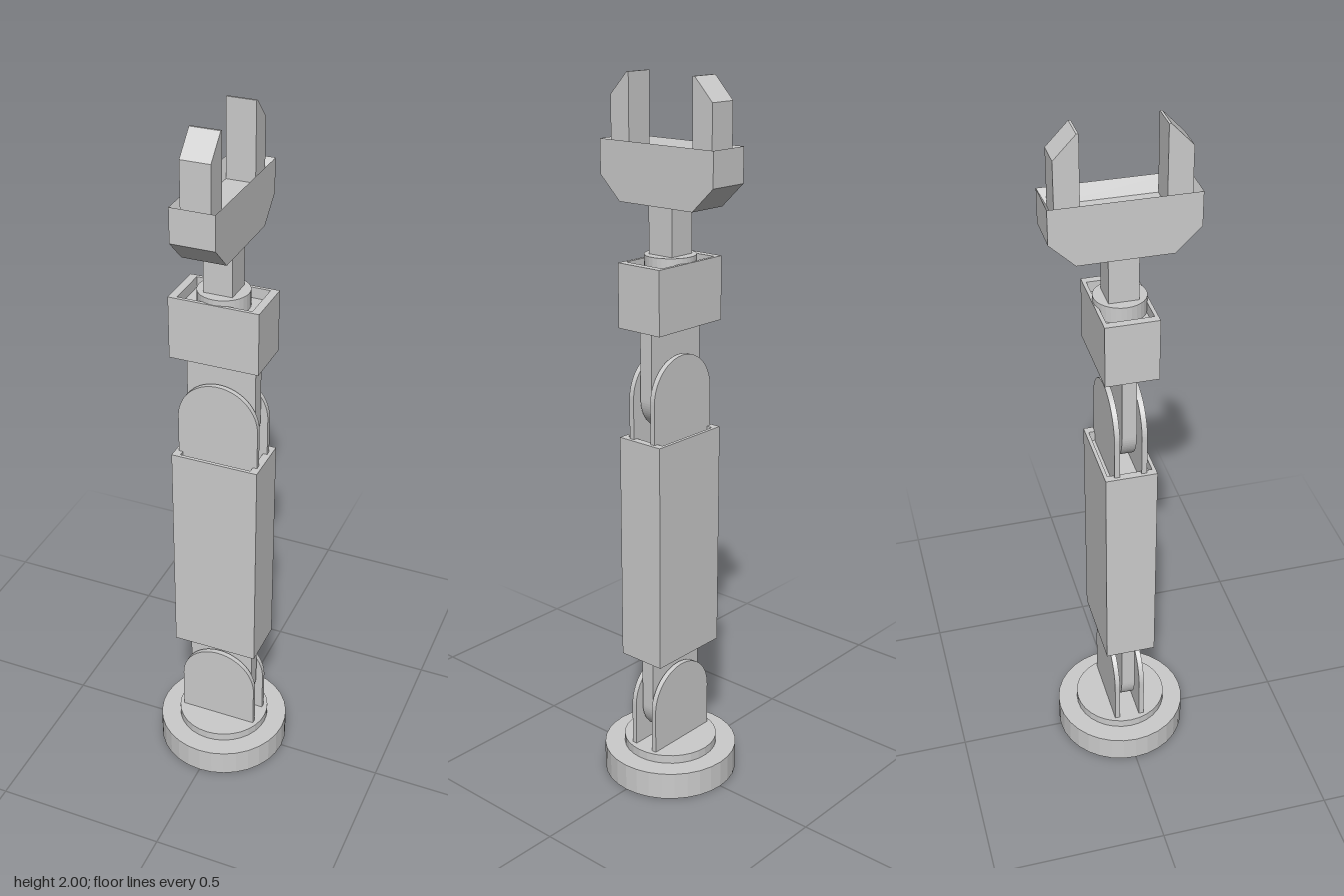
import * as THREE from 'three';

const mat = new THREE.MeshStandardMaterial({ color: 0xcccccc, flatShading: true, side: THREE.DoubleSide });

function add(parent, name, geo, x = 0, y = 0, z = 0) {
  const mesh = new THREE.Mesh(geo, mat);
  mesh.name = name;
  mesh.position.set(x, y, z);
  parent.add(mesh);
  return mesh;
}

// Closed solid through rectangular rings [y, halfX, halfZ]
function rectLoft(rings) {
  const pos = [], idx = [];
  for (const [y, hx, hz] of rings) pos.push(-hx, y, hz, hx, y, hz, hx, y, -hz, -hx, y, -hz);
  for (let r = 0; r < rings.length - 1; r++) {
    for (let i = 0; i < 4; i++) {
      const a = r * 4 + i, b = r * 4 + (i + 1) % 4;
      idx.push(a, b, b + 4, a, b + 4, a + 4);
    }
  }
  const t = (rings.length - 1) * 4;
  idx.push(0, 2, 1, 0, 3, 2, t, t + 1, t + 2, t, t + 2, t + 3);
  const geo = new THREE.BufferGeometry();
  geo.setAttribute('position', new THREE.Float32BufferAttribute(pos, 3));
  geo.setIndex(idx);
  const flat = geo.toNonIndexed();
  flat.computeVertexNormals();
  return flat;
}

// Extrusion centred on its depth
function plate(shape, depth) {
  return new THREE.ExtrudeGeometry(shape, { depth, bevelEnabled: false, curveSegments: 20 }).translate(0, 0, -depth / 2);
}

// Box sleeve with a recessed face at each end
function sleeve(y0, y1) {
  const hx = 0.125, hz = 0.072, ix = 0.103, iz = 0.062, d = 0.03;
  return rectLoft([[y0 + d, ix, iz], [y0, ix, iz], [y0, hx, hz], [y1, hx, hz], [y1, ix, iz], [y1 - d, ix, iz]]);
}

// Hinge: two round-topped cheeks around a round-ended tongue
function hinge(name, y0, pivot, top) {
  const g = new THREE.Group();
  g.name = name;
  const r = 0.115, q = 0.098;
  const cheek = new THREE.Shape();
  cheek.moveTo(-r, y0);
  cheek.lineTo(r, y0);
  cheek.lineTo(r, pivot);
  cheek.absarc(0, pivot, r, 0, Math.PI);
  cheek.closePath();
  for (const s of [1, -1]) add(g, s > 0 ? 'frontCheek' : 'backCheek', plate(cheek, 0.015), 0, 0, s * 0.0375);

  const tongue = new THREE.Shape();
  tongue.moveTo(q, top);
  tongue.lineTo(-q, top);
  tongue.lineTo(-q, pivot);
  tongue.absarc(0, pivot, q, Math.PI, Math.PI * 2);
  tongue.closePath();
  add(g, 'tongue', plate(tongue, 0.04));
  return g;
}

export function createModel() {
  const model = new THREE.Group();
  model.name = 'clawArm';

  // Round foot
  add(model, 'base', new THREE.CylinderGeometry(0.193, 0.193, 0.08, 32), 0, 0.04);
  add(model, 'baseStep', new THREE.CylinderGeometry(0.135, 0.135, 0.026, 32), 0, 0.092);

  // Arm segments and joints
  model.add(hinge('lowerHinge', 0.1, 0.232, 0.425));
  add(model, 'lowerArm', sleeve(0.39, 1.045));
  model.add(hinge('upperHinge', 1.01, 1.157, 1.385));
  add(model, 'upperArm', sleeve(1.35, 1.525));

  // Wrist
  add(model, 'wristDisc', new THREE.CylinderGeometry(0.07, 0.07, 0.046, 32), 0, 1.517);
  add(model, 'wristStem', new THREE.BoxGeometry(0.08, 0.15, 0.08), 0, 1.605);

  // Claw head with chamfered underside and sunken top
  const claw = new THREE.Group();
  claw.name = 'claw';
  model.add(claw);
  add(claw, 'palm', rectLoft([[1.67, 0.06, 0.125], [1.735, 0.06, 0.193], [1.828, 0.06, 0.193], [1.788, 0.04, 0.172]]));

  // Fingers, tips cut back on the outside
  const finger = new THREE.Shape([[0.108, 1.77], [0.172, 1.77], [0.172, 1.94], [0.114, 2], [0.108, 2]]
    .map(([z, y]) => new THREE.Vector2(z, y)));
  for (const s of [1, -1]) {
    add(claw, s > 0 ? 'frontFinger' : 'backFinger', plate(finger, 0.08)).rotation.y = -s * Math.PI / 2;
  }
  return model;
}
